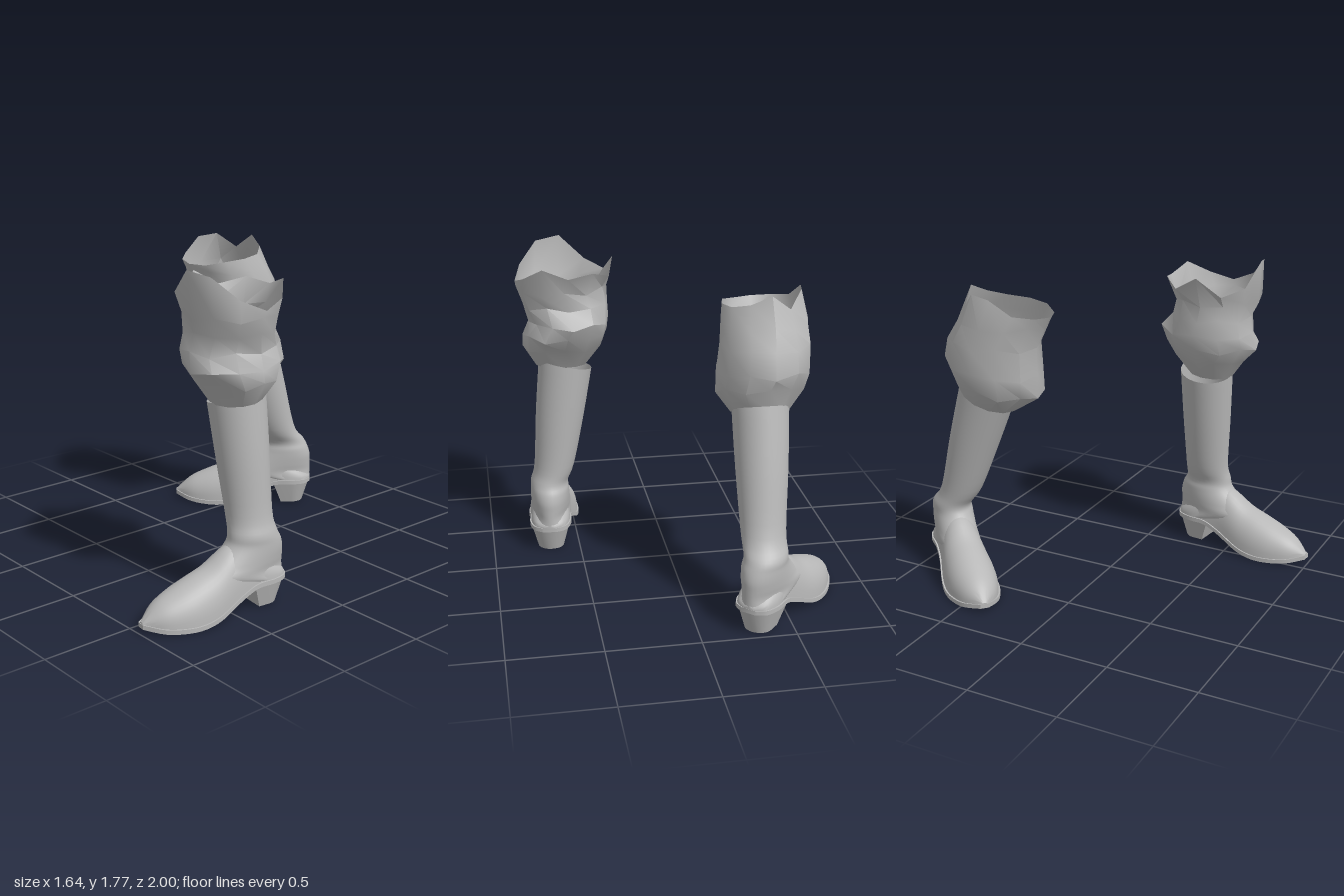
import * as THREE from 'three';
import { toCreasedNormals } from 'three/addons/utils/BufferGeometryUtils.js';

const grey = new THREE.MeshStandardMaterial({ color: 0xb8b8b8, side: THREE.DoubleSide });
grey.name = 'plain grey';

const lerp = THREE.MathUtils.lerp;
const angles = n => Array.from({ length: n }, (_, j) => j / n * Math.PI * 2);

// Skin a surface over closed rings of points; capped ends are fanned to their centre.
function loft(name, rings, crease, caps = false) {
  const n = rings[0].length, pos = rings.flat(2), idx = [];
  for (let i = 0; i < rings.length - 1; i++) for (let j = 0; j < n; j++) {
    const a = i * n + j, b = i * n + (j + 1) % n;
    idx.push(a, a + n, b + n, a, b + n, b);
  }
  if (caps) [0, rings.length - 1].forEach((i, end) => {
    const c = pos.length / 3;
    pos.push(...[0, 1, 2].map(k => rings[i].reduce((s, p) => s + p[k], 0) / n));
    for (let j = 0; j < n; j++) {
      const a = i * n + j, b = i * n + (j + 1) % n;
      if (end) idx.push(a, c, b); else idx.push(a, b, c);
    }
  });
  const g = new THREE.BufferGeometry();
  g.setAttribute('position', new THREE.Float32BufferAttribute(pos, 3));
  g.setIndex(idx);
  const mesh = new THREE.Mesh(toCreasedNormals(g, crease), grey);
  mesh.name = name;
  return mesh;
}

// Smoothly fill in rows between the given ones, column by column.
function smoothRows(rows, steps) {
  const out = [], at = i => rows[Math.max(0, Math.min(rows.length - 1, i))];
  for (let i = 0; i < rows.length - 1; i++) for (let s = 0; s < steps; s++) {
    const t = s / steps;
    out.push(rows[i].map((p1, k) => {
      const p0 = at(i - 1)[k], p2 = at(i + 1)[k], p3 = at(i + 2)[k];
      return p1 + 0.5 * t * (p2 - p0 + t * (2 * p0 - 5 * p1 + 4 * p2 - p3 + t * (3 * (p1 - p2) + p3 - p0)));
    }));
  }
  out.push(rows[rows.length - 1]);
  return out;
}

// Foot stations: z, half width, underside of the sole, top of the upper
const footRows = smoothRows([
  [-0.115, 0.03, 0.13, 0.17], [-0.08, 0.085, 0.13, 0.2], [0, 0.112, 0.13, 0.26],
  [0.1, 0.11, 0.125, 0.32], [0.2, 0.115, 0.085, 0.352], [0.335, 0.138, 0.025, 0.267],
  [0.44, 0.144, 0.003, 0.225], [0.54, 0.13, 0.002, 0.185], [0.64, 0.09, 0.01, 0.135],
  [0.725, 0.015, 0.028, 0.058],
], 4);

function foot({ ankle, yaw }) {
  const group = new THREE.Group();
  group.name = 'foot';
  group.position.set(ankle[0], 0, ankle[1]);
  group.rotation.y = yaw;

  // Arched upper
  const upper = footRows.map(([z, w, y, top]) => Array.from({ length: 21 }, (_, j) => {
    const a = j / 20 * Math.PI, base = y + 0.02;
    return [-w * Math.cos(a), base + (top - base) * Math.max(0, Math.sin(a)) ** 0.85, z];
  }));
  group.add(loft('upper', upper, 0.8, true));

  // Thin welted sole
  const sole = footRows.map(([z, w, y]) => {
    const e = w + 0.008, zz = z * 1.006;
    return [[-e, y, zz], [-e, y + 0.024, zz], [e, y + 0.024, zz], [e, y, zz]];
  });
  group.add(loft('sole', sole, 0.6, true));

  // Tapered heel block, flat in front and round behind
  const heel = [[0, 0.075, 0.065, 0.07], [0.138, 0.112, 0.115, 0.113]].map(([y, w, front, back]) => {
    const pts = Array.from({ length: 13 }, (_, j) => {
      const a = Math.PI + j / 12 * Math.PI;
      return [w * Math.cos(a), y, back * Math.sin(a)];
    });
    return [...pts, [w, y, front], [-w, y, front]];
  });
  group.add(loft('heel', heel, 0.6, true));
  return group;
}

// Shaft rows: height, half width, half depth, how far forward of the ankle;
// the lowest ones stretch forward to melt into the instep
const shaftRows = [
  [0.145, 0.112, 0.115, 0], [0.2, 0.115, 0.27, 0.155], [0.25, 0.114, 0.226, 0.111],
  [0.3, 0.113, 0.189, 0.075], [0.35, 0.111, 0.156, 0.056], [0.4, 0.109, 0.136, 0.062],
  [0.5, 0.116, 0.126, 0], [0.8, 0.137, 0.139, 0], [1.1, 0.149, 0.15, 0],
];

// Open tube that follows the ankle, then leans from shin to knee
function shaft({ ankle, yaw, shin, knee, tilt }) {
  const c = Math.cos(yaw), s = Math.sin(yaw);
  const rows = shaftRows.map(([y, a, b, fwd]) => {
    const t = Math.max(0, (y - 0.5) / 0.6);
    const [cx, cz] = y < 0.5
      ? [ankle[0] + fwd * s, ankle[1] + fwd * c]
      : [lerp(shin[0], knee[0], t), lerp(shin[1], knee[1], t)];
    return [y, a, b, cx, cz, t * tilt[0], t * tilt[1]];
  });
  const rings = smoothRows(rows, 4).map(([y, a, b, cx, cz, tx, tz]) => angles(32).map(q => {
    const u = a * Math.cos(q), v = b * Math.sin(q);
    const dx = u * c + v * s, dz = v * c - u * s;
    return [cx + dx, y + tx * dx + tz * dz, cz + dz];
  }));
  return loft('shaft', rings, 1.0);
}

// Bunched cloth with wavy folds and a ragged rim; the hem lies on the tilted shaft top
function cuff({ cloth, tilt, rim, seed }) {
  const last = cloth.length - 1;
  const rings = cloth.map(([y, cx, cz, rx, rz], i) => angles(rim.length).map((q, j) => {
    const fold = i && i < last ? 1 + 0.022 * Math.sin(3 * q + i * 2.1 + seed) : 1;
    const wave = i ? 0.014 * Math.sin(5 * q + i * 1.7 + seed) : 0;
    const dx = rx * fold * Math.cos(q), dz = rz * fold * Math.sin(q);
    const height = i === last ? rim[j] : y + wave + tilt[1] * dz * (1 - i / last) ** 2;
    return [cx + dx, height, cz + dz];
  }));
  return loft('cuff', rings, 0.7);
}

// Pose of each leg; pairs are x and z, cloth rows are height, centre x and z, half width, half depth
const leftLeg = {
  ankle: [0.665, 0.265], yaw: -0.12, shin: [0.626, 0.325], knee: [0.545, 0.34], tilt: [0.22, -0.1],
  cloth: [
    [1.09, 0.563, 0.36, 0.145, 0.13], [1.2, 0.557, 0.36, 0.222, 0.197], [1.28, 0.545, 0.367, 0.24, 0.268],
    [1.36, 0.515, 0.352, 0.225, 0.272], [1.45, 0.53, 0.378, 0.24, 0.223], [1.54, 0.555, 0.395, 0.255, 0.24],
    [1.65, 0.535, 0.38, 0.275, 0.27],
  ],
  rim: [1.58, 1.64, 1.75, 1.77, 1.64, 1.6, 1.7, 1.62, 1.66, 1.64, 1.69, 1.62], seed: 0.4,
};
const rightLeg = {
  ankle: [-0.32, -0.885], yaw: -0.735, shin: [-0.362, -0.768], knee: [-0.38, -0.563], tilt: [0, -0.37],
  cloth: [
    [1.075, -0.385, -0.545, 0.158, 0.155], [1.18, -0.39, -0.485, 0.238, 0.25], [1.28, -0.408, -0.49, 0.248, 0.27],
    [1.42, -0.415, -0.48, 0.235, 0.255], [1.53, -0.42, -0.425, 0.23, 0.255], [1.6, -0.415, -0.38, 0.208, 0.24],
  ],
  rim: [1.61, 1.6, 1.58, 1.58, 1.59, 1.61, 1.69, 1.7, 1.62, 1.7, 1.65, 1.62], seed: 2.6,
};

export function createModel() {
  const model = new THREE.Group();
  model.name = 'pairOfBoots';
  for (const [name, leg] of Object.entries({ leftLeg, rightLeg })) {
    const group = new THREE.Group();
    group.name = name;
    group.add(foot(leg), shaft(leg), cuff(leg));
    model.add(group);
  }
  return model;
}
